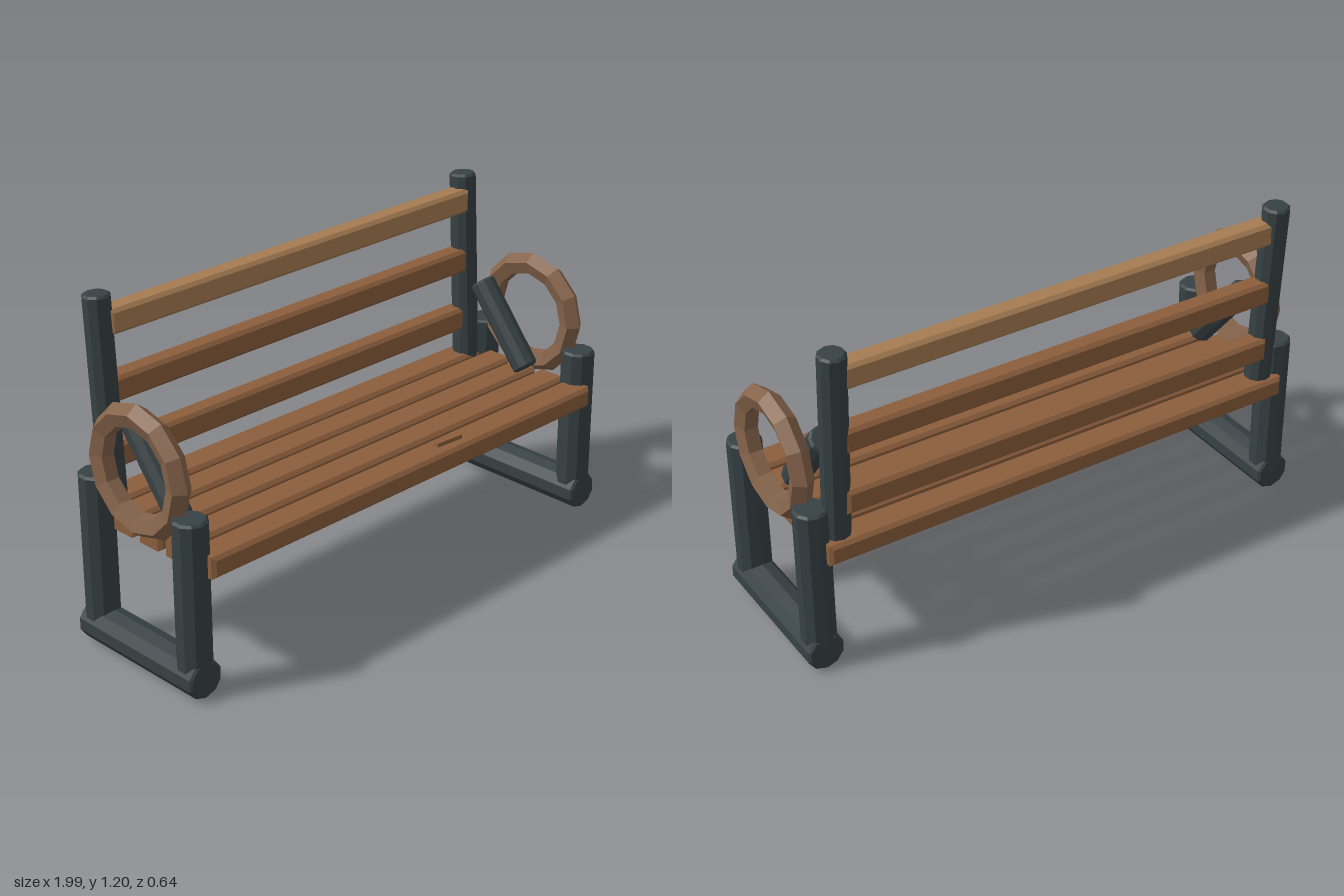
import * as THREE from 'three';

const mat = (color) => new THREE.MeshStandardMaterial({ color, flatShading: true });

// Board along x with chamfered edges
function board(name, length, height, depth, bevel, material) {
  const w = length / 2 - bevel, h = height / 2 - bevel;
  const shape = new THREE.Shape([
    new THREE.Vector2(-w, -h), new THREE.Vector2(w, -h),
    new THREE.Vector2(w, h), new THREE.Vector2(-w, h),
  ]);
  // The chamfer is made by the bevel growing outwards from the inner rectangle
  const geo = new THREE.ExtrudeGeometry(shape, {
    depth: depth - 2 * bevel, bevelEnabled: true, bevelThickness: bevel,
    bevelSize: bevel, bevelSegments: 1,
  });
  geo.center();
  const mesh = new THREE.Mesh(geo, material);
  mesh.name = name;
  return mesh;
}

// Faceted log between two points with chamfered ends
function log(name, from, to, radius, material) {
  const a = new THREE.Vector3(...from), b = new THREE.Vector3(...to);
  const dir = b.clone().sub(a), len = dir.length(), c = 0.008;
  const profile = [
    [0, 0], [radius - c, 0], [radius, c], [radius, len - c], [radius - c, len], [0, len],
  ].map(([x, y]) => new THREE.Vector2(x, y));
  const mesh = new THREE.Mesh(new THREE.LatheGeometry(profile, 10), material);
  mesh.position.copy(a);
  mesh.quaternion.setFromUnitVectors(new THREE.Vector3(0, 1, 0), dir.normalize());
  mesh.name = name;
  return mesh;
}

export function createModel() {
  const model = new THREE.Group();
  model.name = 'bench';
  const iron = mat(0x374144);
  const wood = mat(0x8b5e3c);
  const paleWood = mat(0xa67c52);
  const ringWood = mat(0x85634a);

  // Seat slats
  for (let i = 0; i < 5; i++) {
    const slat = board('seatSlat', 1.82, 0.077, 0.112, 0.012, wood);
    slat.position.set(0, 0.467, 0.265 - i * 0.128);
    model.add(slat);
  }

  // Backrest slats, the top one paler
  [0.642, 0.872, 1.103].forEach((y, i) => {
    const slat = board('backSlat', 1.67, 0.088, 0.077, 0.012, i === 2 ? paleWood : wood);
    slat.position.set(0, y, -0.258);
    model.add(slat);
  });

  // Mirrored end frames
  for (const s of [1, -1]) {
    const side = new THREE.Group();
    side.name = s > 0 ? 'leftFrame' : 'rightFrame';
    const x = s * 0.93;
    side.add(log('frontLeg', [x, 0.065, 0.239], [x, 0.625, 0.239], 0.06, iron));
    side.add(log('rearLeg', [x, 0.065, -0.22], [x, 0.625, -0.22], 0.06, iron));
    side.add(log('footRail', [x, 0.068, -0.273], [x, 0.068, 0.293], 0.068, iron));
    side.add(log('backPost', [s * 0.85, 0.42, -0.232], [s * 0.85, 1.198, -0.272], 0.048, iron));
    side.add(log('armBrace', [s * 0.833, 0.531, 0.078], [s * 0.833, 0.81, -0.148], 0.047, iron));

    // Ring armrest
    const ring = new THREE.Mesh(new THREE.TorusGeometry(0.189, 0.0414, 5, 12), ringWood);
    ring.rotation.y = Math.PI / 2;
    ring.position.set(s * 0.934, 0.705, 0.009);
    ring.name = 'armRing';
    side.add(ring);
    model.add(side);
  }

  // Small wood chip on the front slat
  const chip = new THREE.Mesh(new THREE.BoxGeometry(0.112, 0.024, 0.018), wood);
  chip.position.set(0.207, 0.508, 0.267);
  chip.rotation.y = -0.07;
  chip.name = 'seatChip';
  model.add(chip);

  return model;
}
